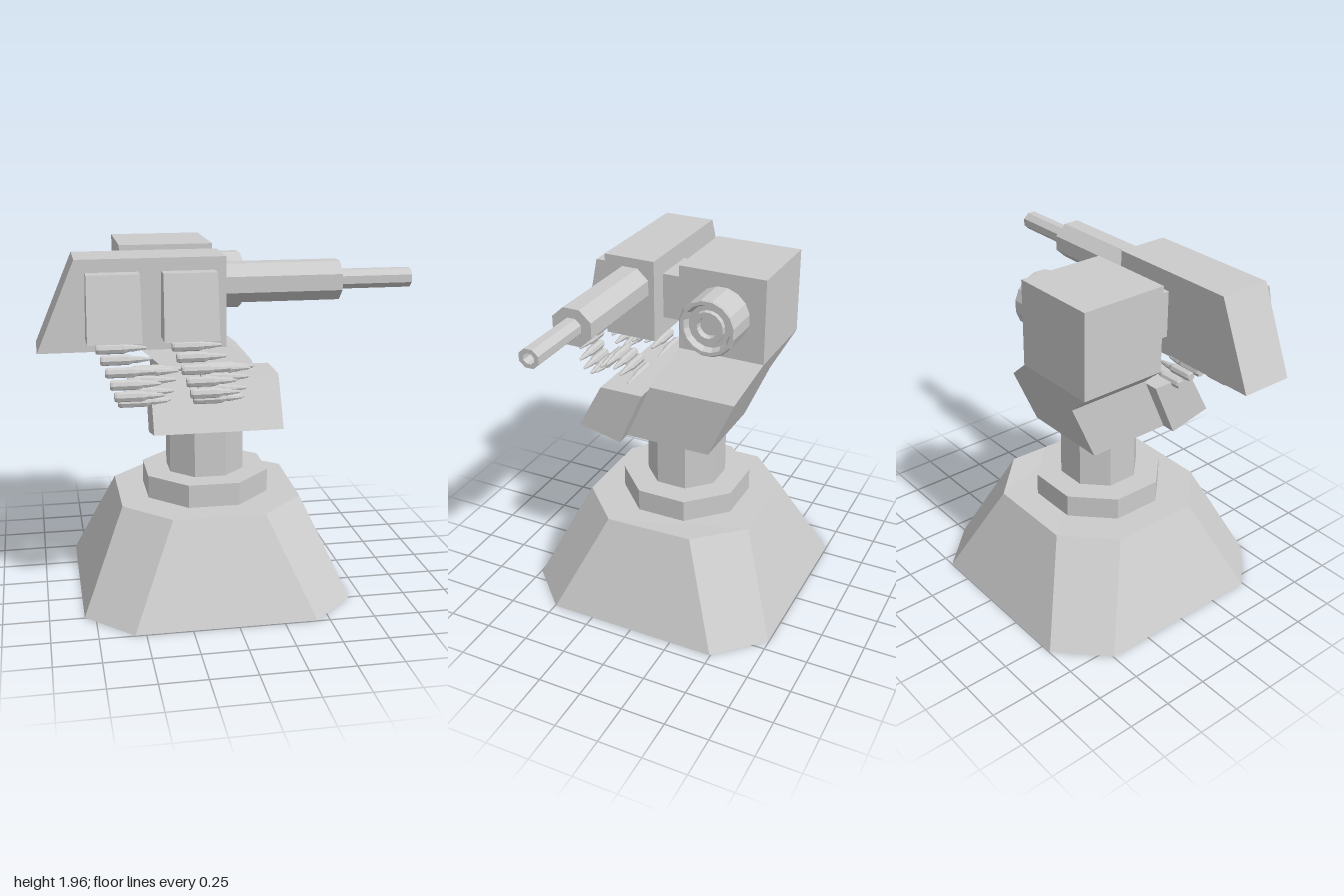
import * as THREE from 'three';

const mat = new THREE.MeshStandardMaterial({ color: 0xcccccc, flatShading: true });
const APO = Math.cos(Math.PI / 8);

export function createModel() {
  const model = new THREE.Group();

  const add = (name, geo, parent = model) => {
    const mesh = new THREE.Mesh(geo, mat);
    mesh.name = name;
    parent.add(mesh);
    return mesh;
  };

  // Closed solid through stacked rings, bottom to top, counter-clockwise from above
  const loft = (rings) => {
    const pos = [];
    const tri = (...p) => p.forEach((v) => pos.push(...v));
    const n = rings[0].length;
    for (let r = 0; r < rings.length - 1; r++) {
      const lo = rings[r], hi = rings[r + 1];
      for (let i = 0; i < n; i++) {
        const j = (i + 1) % n;
        tri(lo[i], lo[j], hi[j]);
        tri(lo[i], hi[j], hi[i]);
      }
    }
    const bottom = rings[0], top = rings[rings.length - 1];
    for (let i = 1; i < n - 1; i++) {
      tri(bottom[0], bottom[i + 1], bottom[i]);
      tri(top[0], top[i], top[i + 1]);
    }
    const geo = new THREE.BufferGeometry();
    geo.setAttribute('position', new THREE.Float32BufferAttribute(pos, 3));
    geo.computeVertexNormals();
    return geo;
  };

  // Rectangular ring; yFront lets the front edge sit at another height
  const rect = (y, x0, x1, z0, z1, yFront = y) =>
    [[x1, yFront, z1], [x1, y, z0], [x0, y, z0], [x0, yFront, z1]];

  // Chamfered square ring
  const octagon = (cx, half, chamfer, heightAt) => {
    const k = half - chamfer;
    return [[half, k], [half, -k], [k, -half], [-k, -half], [-half, -k], [-half, k], [-k, half], [k, half]]
      .map(([x, z], i) => [cx + x, heightAt(i), z]);
  };

  // Turned part lying along +x, profile given as [radius, x]
  const turned = (profile, sides, start = 0) =>
    new THREE.LatheGeometry(profile.map(([r, x]) => new THREE.Vector2(r, x)), sides, start)
      .rotateZ(-Math.PI / 2);

  // Upright octagonal drum measured across its flats
  const drum = (name, halfWidth, y0, y1) => {
    const r = halfWidth / APO;
    add(name, new THREE.CylinderGeometry(r, r, y1 - y0, 8, 1, false, Math.PI / 8))
      .position.set(-0.068, (y0 + y1) / 2, 0);
  };

  // Pedestal
  add('pedestal', loft([
    octagon(-0.065, 0.745, 0.25, () => 0),
    octagon(-0.065, 0.505, 0.25, (i) => (i === 1 ? 0.556 : i === 2 ? 0.545 : 0.54)),
  ]));
  drum('collar', 0.343, 0.5, 0.67);
  drum('post', 0.21, 0.6, 0.957);

  // Leaning neck, front ammunition box and head
  add('neck', loft([
    rect(0.965, -0.335, 0.19, -0.25, 0.255),
    rect(1.305, -0.335, 0.19, -0.4, 0.105),
    rect(1.47, -0.535, -0.025, -0.475, 0.03),
  ]));
  add('ammunitionBox', loft([
    rect(0.965, -0.415, 0.28, 0.255, 0.51, 1.022),
    rect(1.29, -0.415, 0.28, 0.11, 0.365),
  ]));
  add('head', loft([
    rect(1.47, -0.535, -0.025, -0.475, 0.03),
    rect(1.955, -0.535, -0.025, -0.475, 0.03),
  ]));

  // Sensor lens with stepped recess
  add('lens', turned([
    [0, -0.04], [0.163, -0.04], [0.163, 0.165], [0.155, 0.175], [0.135, 0.175], [0.12, 0.14],
    [0.093, 0.14], [0.09, 0.165], [0.06, 0.165], [0.055, 0.13], [0, 0.13],
  ], 16, Math.PI / 16)).position.set(0, 1.715, -0.225);

  // Gun housing and its link to the head
  add('gunLink', loft([
    rect(1.58, -0.41, -0.14, 0, 0.2),
    rect(1.84, -0.41, -0.14, 0, 0.2),
  ]));
  add('gunHousing', loft([
    rect(1.477, -1, -0.028, 0.183, 0.485),
    rect(1.947, -0.8, -0.028, 0.183, 0.485),
  ]));

  // Barrel, thick sleeve then hollow muzzle
  const barrel = new THREE.Group();
  barrel.name = 'barrel';
  barrel.position.set(0, 1.79, 0.33);
  barrel.scale.z = 1.1;
  model.add(barrel);
  const R = 0.102 / APO, r = 0.05 / APO;
  add('barrelSleeve', turned([[0, -0.05], [R, -0.05], [R, 0.6], [0, 0.6]], 8, Math.PI / 8), barrel);
  add('muzzle', turned([[r, 0.58], [r, 1], [0.03, 1], [0.03, 0.85], [0, 0.85]], 8, Math.PI / 8), barrel);

  // Cartridge belts hang from the feed covers and dip into the ammunition box
  const beltPath = [ // z, y
    [0.576, 1.51], [0.6, 1.457], [0.633, 1.4], [0.664, 1.344], [0.654, 1.28], [0.617, 1.24], [0.56, 1.23],
    [0.51, 1.26], [0.468, 1.31], [0.416, 1.344], [0.36, 1.34], [0.307, 1.323], [0.25, 1.287],
  ];
  const cartridge = turned([
    [0, 0], [0.022, 0], [0.027, 0.012], [0.027, 0.14], [0.018, 0.165], [0.018, 0.185], [0.008, 0.25], [0, 0.26],
  ], 8);

  for (const [side, x0, x1] of [['right', -0.755, -0.48], ['left', -0.37, -0.088]]) {
    add(side + 'FeedCover', loft([
      rect(1.545, x0, x1, 0.46, 0.643),
      rect(1.88, x0 + 0.007, x1, 0.46, 0.573),
    ]));
    const belt = new THREE.Group();
    belt.name = side + 'CartridgeBelt';
    model.add(belt);
    beltPath.forEach(([z, y], i) => {
      add('cartridge', cartridge, belt).position.set(x0 + 0.045 + i * 0.0205, y, z);
    });
  }

  return model;
}
